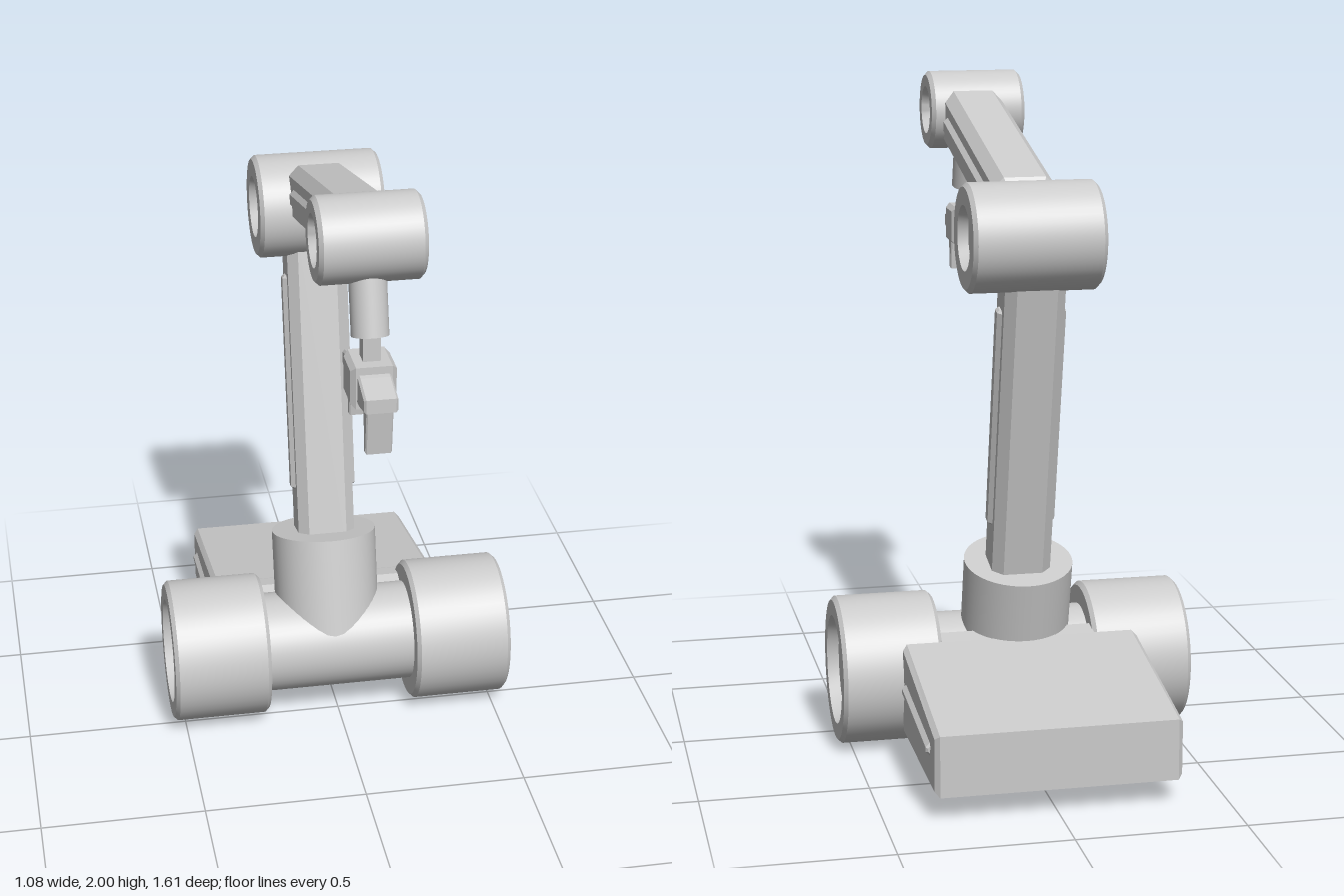
import * as THREE from 'three';
import { toCreasedNormals } from 'three/addons/utils/BufferGeometryUtils.js';

const material = new THREE.MeshStandardMaterial({ color: 0xcccccc });

function add(parent, name, geometry) {
  const mesh = new THREE.Mesh(geometry, material);
  mesh.name = name;
  parent.add(mesh);
  return mesh;
}

// Drum along x with bevelled rims and a dished recess in each end that has a depth
function drum(radius, length, recessRadius, depthRight, depthLeft, bevel = 0.012) {
  const h = length / 2;
  const lip = Math.max(recessRadius - 0.012, 0.01);
  const profile = [
    [0, -h + depthLeft], [lip, -h + depthLeft], [recessRadius, -h],
    [radius - bevel, -h], [radius, -h + bevel], [radius, h - bevel], [radius - bevel, h],
    [recessRadius, h], [lip, h - depthRight], [0, h - depthRight],
  ].map(([x, y]) => new THREE.Vector2(x, y));
  const geometry = new THREE.LatheGeometry(profile, 48).rotateZ(-Math.PI / 2);
  return toCreasedNormals(geometry, 0.5);
}

// Side profile of [z, y] points, extruded across x with bevelled edges
function slab(points, width, bevel) {
  const shape = new THREE.Shape(points.map(([z, y]) => new THREE.Vector2(z, y)));
  const depth = width - 2 * bevel;
  return new THREE.ExtrudeGeometry(shape, {
    depth, bevelEnabled: true, bevelSize: bevel, bevelThickness: bevel,
    bevelOffset: -bevel, bevelSegments: 1,
  }).translate(0, 0, -depth / 2).rotateY(-Math.PI / 2);
}

// Bar along z, starting at z = 0, with chamfered long edges
function bar(width, height, length, chamfer, endBevel) {
  const x = width / 2, y = height / 2, c = chamfer;
  const shape = new THREE.Shape([
    [x, y - c], [x - c, y], [c - x, y], [-x, y - c],
    [-x, c - y], [c - x, -y], [x - c, -y], [x, c - y],
  ].map(([a, b]) => new THREE.Vector2(a, b)));
  return new THREE.ExtrudeGeometry(shape, {
    depth: length - 2 * endBevel, bevelEnabled: true, bevelSize: endBevel,
    bevelThickness: endBevel, bevelOffset: -endBevel, bevelSegments: 1,
  }).translate(0, 0, endBevel);
}

// Cylinder running between two points
function rod(from, to, radius) {
  const a = new THREE.Vector3(...from), b = new THREE.Vector3(...to);
  const direction = b.clone().sub(a);
  const geometry = new THREE.CylinderGeometry(radius, radius, direction.length(), 40);
  geometry.applyQuaternion(new THREE.Quaternion().setFromUnitVectors(
    new THREE.Vector3(0, 1, 0), direction.normalize()));
  const middle = a.add(b).multiplyScalar(0.5);
  return geometry.translate(middle.x, middle.y, middle.z);
}

// Arm beam with a raised strip on both flanks
function armSegment(name, from, to, width, height, stripStart, stripEnd) {
  const group = new THREE.Group();
  group.name = name;
  const a = new THREE.Vector3(...from), b = new THREE.Vector3(...to);
  add(group, name + 'Beam', bar(width, height, a.distanceTo(b), 0.03, 0.012));
  for (const side of [-1, 1]) {
    const strip = add(group, name + 'Strip', bar(0.05, 0.058, stripEnd - stripStart, 0.014, 0.008));
    strip.position.set(side * (width / 2 - 0.012), 0, stripStart);
  }
  group.position.copy(a);
  group.lookAt(b);
  return group;
}

export function createModel() {
  const model = new THREE.Group();
  model.name = 'robotArm';

  // Wheels and axle
  const axleY = 0.23, axleZ = -0.073;
  const axle = add(model, 'axle', drum(0.158, 0.5, 0.1, 0, 0));
  axle.position.set(0, axleY, axleZ);
  for (const side of [-1, 1]) {
    const wheel = add(model, side > 0 ? 'leftWheel' : 'rightWheel',
      drum(0.227, 0.305, 0.167, side > 0 ? 0.035 : 0, side > 0 ? 0 : 0.035));
    wheel.position.set(side * 0.387, axleY, axleZ);
    wheel.scale.z = 0.96;
  }

  // Sloping rear base, with a narrower neck between the wheels
  const base = add(model, 'base', slab(
    [[-0.805, 0.077], [-0.805, 0.26], [-0.26, 0.357], [-0.26, 0.077]], 0.725, 0.014));
  base.position.x = -0.004;
  add(model, 'baseNeck', slab(
    [[-0.5, 0.077], [-0.5, 0.31], [-0.2, 0.367], [-0.12, 0.34], [-0.12, 0.077]], 0.48, 0.004));
  for (const side of [-1, 1]) {
    const strip = add(model, 'baseStrip', bar(0.05, 0.042, 0.41, 0.014, 0.006));
    strip.position.set(side * 0.35 - 0.004, 0.193, -0.725);
    strip.rotation.x = -0.1;
  }

  // Tilted collar and the two arm segments
  add(model, 'collar', rod([-0.017, 0.23, -0.088], [-0.017, 0.577, -0.172], 0.166));
  model.add(armSegment('upperArm',
    [-0.013, 0.5, -0.167], [-0.013, 1.56, -0.392], 0.18, 0.158, 0.215, 0.91));
  model.add(armSegment('forearm',
    [-0.004, 1.675, -0.307], [-0.004, 1.863, 0.5], 0.185, 0.18, 0.087, 0.733));

  // Joint drums
  const elbow = add(model, 'elbow', drum(0.159, 0.388, 0.095, 0.03, 0.03));
  elbow.position.set(0, 1.606, -0.402);
  const wrist = add(model, 'wrist', drum(0.123, 0.3, 0.075, 0.025, 0.025));
  wrist.position.set(-0.02, 1.877, 0.555);

  // Wrist link and stem
  const handX = -0.024, handZ = 0.638;
  add(model, 'wristLink', rod([handX, 1.876, 0.567], [handX, 1.62, 0.636], 0.053));
  const stem = add(model, 'stem', new THREE.BoxGeometry(0.05, 0.13, 0.053));
  stem.position.set(handX, 1.59, handZ);

  // Gripper: palm block, two tapering brackets and two pointed jaws
  const gripper = new THREE.Group();
  gripper.name = 'gripper';
  gripper.position.set(handX, 0, handZ);
  model.add(gripper);
  add(gripper, 'palm', slab(
    [[-0.064, 1.43], [0.064, 1.43], [0.064, 1.555], [-0.064, 1.555]], 0.13, 0.014));
  for (const s of [-1, 1]) {
    add(gripper, 'bracket', slab([
      [s * 0.05, 1.447], [s * 0.05, 1.535], [s * 0.08, 1.53],
      [s * 0.168, 1.506], [s * 0.168, 1.465], [s * 0.09, 1.447],
    ], 0.095, 0.006));
    add(gripper, 'jaw', slab([
      [s * 0.096, 1.47], [s * 0.152, 1.48], [s * 0.134, 1.325], [s * 0.114, 1.325],
    ], 0.075, 0.004));
  }
  return model;
}
